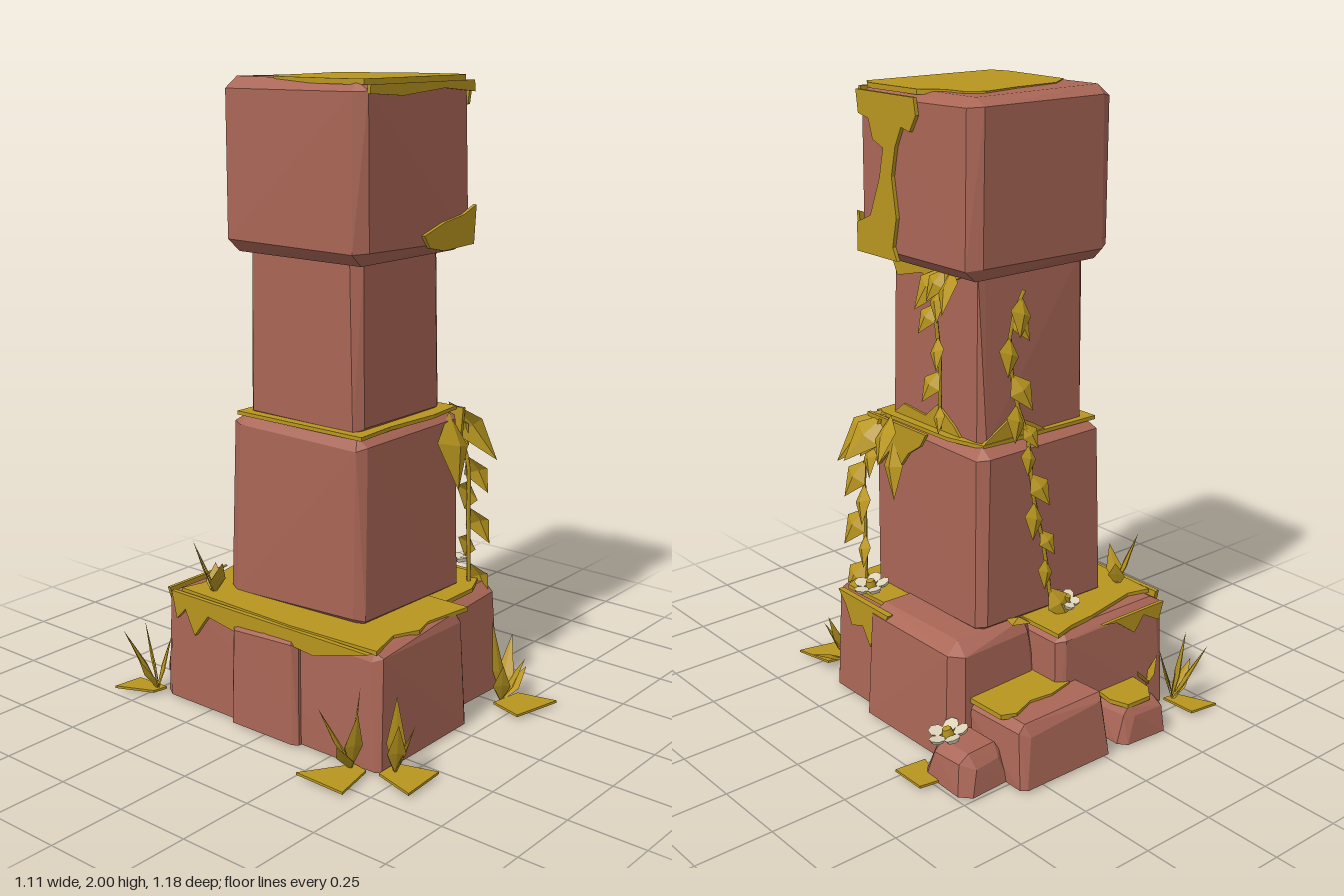
import * as THREE from 'three';
import { ConvexGeometry } from 'three/addons/geometries/ConvexGeometry.js';

const mat = (name, color, side = THREE.FrontSide) => {
  const m = new THREE.MeshStandardMaterial({ color, side });
  m.name = name;
  return m;
};
const V = (x, y, z) => new THREE.Vector3(x, y, z);

export function createModel() {
  const root = new THREE.Group();
  root.name = 'mossyStonePillar';
  const rock = mat('red stone', 0xa96656);
  const moss = mat('golden moss', 0xb8951f, THREE.DoubleSide);
  const petal = mat('cream petal', 0xdcd2b8, THREE.DoubleSide);

  let seed = 7;
  const rnd = () => (seed = (seed * 16807) % 2147483647) / 2147483647;

  const add = (parent, name, geo, material) => {
    const m = new THREE.Mesh(geo, material);
    m.name = name;
    parent.add(m);
    return m;
  };

  // Rough chamfered block: three points near each corner, nudged inwards.
  // topIn / botIn pull the upper and lower rims in.
  function block(name, lo, hi, c = 0.03, topIn = 0.01, botIn = 0, jit = 0.014) {
    const pts = [];
    for (const sx of [0, 1]) for (const sy of [0, 1]) for (const sz of [0, 1]) for (let k = 0; k < 3; k++) {
      const s = [sx, sy, sz];
      const p = s.map((f, i) => {
        let inset = i === k ? 0 : c * (0.7 + 0.6 * rnd());
        if (i !== 1) inset += sy ? topIn : botIn;
        inset += (i === 1 ? 0.5 : 1) * jit * rnd();
        if (i === 1 && !f && lo[1] < 0.05) inset = 0;
        return f ? hi[i] - inset : lo[i] + inset;
      });
      pts.push(V(...p));
    }
    add(root, name, new ConvexGeometry(pts), rock);
  }

  // Stacked column
  block('topBlock', [-0.295, 1.47, -0.285], [0.285, 2.0, 0.3], 0.035, 0.012, 0.012);
  block('neckBlock', [-0.23, 0.95, -0.225], [0.205, 1.52, 0.23], 0.02, 0.008, 0);
  block('middleBlock', [-0.28, 0.36, -0.28], [0.26, 0.97, 0.285], 0.03, 0.012, 0.006);

  // Plinth stones
  block('plinthLeft', [-0.405, 0.01, -0.455], [0.08, 0.38, 0.45], 0.025, 0.015);
  block('plinthFrontRight', [0.06, 0.01, 0.0], [0.375, 0.375, 0.37], 0.03, 0.015);
  block('plinthRight', [0.0, 0.01, -0.34], [0.41, 0.39, 0.16], 0.04, 0.025);
  block('plinthSideSliver', [-0.425, 0.01, -0.15], [-0.33, 0.35, 0.15], 0.02, 0.01);
  block('backStone', [-0.045, 0.01, -0.58], [0.345, 0.21, -0.25], 0.03, 0.015);
  block('smallBackStone', [-0.28, 0.01, -0.595], [-0.07, 0.13, -0.4], 0.025, 0.012);
  block('smallSideStone', [0.3, 0.01, -0.505], [0.5, 0.13, -0.28], 0.03, 0.015);

  // Moss sheets: points are (x,z) for 'top', (z,y) for sides and (x,y) for front and back
  function sheet(name, face, at, pts, depth = 0.012) {
    const flip = face === 'right' || face === 'back' ? -1 : 1;
    const shape = new THREE.Shape(pts.map(([a, b]) => new THREE.Vector2(a * flip, b)));
    const geo = new THREE.ExtrudeGeometry(shape, { depth, bevelEnabled: false });
    if (face === 'top') geo.rotateX(Math.PI / 2).translate(0, at, 0);
    if (face === 'right') geo.rotateY(Math.PI / 2).translate(at - depth, 0, 0);
    if (face === 'left') geo.rotateY(-Math.PI / 2).translate(at + depth, 0, 0);
    if (face === 'back') geo.rotateY(Math.PI).translate(0, 0, at + depth);
    if (face === 'front') geo.translate(0, 0, at - depth);
    add(root, name, geo, moss);
  }

  // Top block moss
  sheet('topMoss', 'top', 2.0, [[-0.25, -0.07], [-0.16, -0.135], [0.0, -0.145], [0.14, -0.17], [0.19, -0.13],
    [0.2, -0.06], [0.255, 0.0], [0.262, 0.22], [0.235, 0.268], [-0.245, 0.262], [-0.265, 0.2]], 0.016);
  sheet('topMossFrontLip', 'front', 0.29, [[-0.25, 1.985], [0.25, 1.985], [0.255, 1.95], [0.1, 1.965], [-0.1, 1.95], [-0.25, 1.96]]);
  sheet('topMossDrip', 'right', 0.283, [[0.26, 1.98], [-0.02, 1.98], [-0.03, 1.93], [0.0, 1.88], [0.04, 1.89],
    [0.07, 1.83], [0.09, 1.74], [0.07, 1.62], [0.09, 1.53], [0.07, 1.49], [0.27, 1.49], [0.27, 1.58],
    [0.2, 1.61], [0.15, 1.73], [0.13, 1.82], [0.18, 1.84], [0.2, 1.9], [0.25, 1.91]]);
  sheet('topMossLowerFront', 'front', 0.295, [[0.0, 1.54], [0.03, 1.5], [0.1, 1.485], [0.255, 1.49], [0.265, 1.61], [0.2, 1.585], [0.1, 1.57]]);
  sheet('neckUpperMoss', 'right', 0.208, [[0.21, 1.5], [-0.2, 1.5], [-0.12, 1.46], [-0.03, 1.42], [0.05, 1.45], [0.17, 1.42]]);
  sheet('neckLowerMoss', 'right', 0.208, [[0.2, 0.97], [-0.13, 0.97], [-0.1, 1.0], [-0.02, 1.05], [0.04, 1.0], [0.15, 1.01]]);

  // Middle block ledge moss
  sheet('middleMoss', 'top', 0.972, [[-0.25, -0.24], [0.2, -0.23], [0.235, -0.1], [0.24, 0.25], [0.1, 0.265], [-0.1, 0.25], [-0.25, 0.26]], 0.012);
  sheet('middleMossDrip', 'right', 0.262, [[0.27, 0.965], [-0.03, 0.965], [0.0, 0.92], [0.06, 0.88], [0.1, 0.83], [0.16, 0.86], [0.22, 0.8], [0.26, 0.85]]);
  sheet('neckFootMoss', 'back', -0.228, [[0.2, 0.97], [-0.05, 0.97], [0.0, 1.0], [0.08, 1.04], [0.15, 1.0]]);

  // Plinth moss
  sheet('plinthMoss', 'top', 0.386, [[-0.375, -0.38], [-0.3, -0.36], [-0.2, -0.38], [-0.1, -0.4], [0.0, -0.41], [0.07, -0.43],
    [0.075, 0.425], [-0.1, 0.4], [-0.17, 0.42], [-0.25, 0.385], [-0.375, 0.42], [-0.39, 0.1]], 0.014);
  sheet('plinthMossRight', 'top', 0.384, [[0.06, 0.1], [0.34, 0.05], [0.35, 0.28], [0.22, 0.34], [0.06, 0.34]], 0.014);
  sheet('plinthMossRightDrip', 'right', 0.382, [[0.29, 0.375], [0.02, 0.375], [0.05, 0.33], [0.09, 0.3], [0.12, 0.23], [0.16, 0.29], [0.22, 0.27], [0.25, 0.33]], 0.02);
  sheet('plinthMossLeftDrip', 'left', -0.402, [[-0.4, 0.38], [-0.38, 0.29], [-0.34, 0.33], [-0.3, 0.25], [-0.24, 0.33],
    [-0.12, 0.31], [0.0, 0.34], [0.2, 0.32], [0.3, 0.35], [0.41, 0.38]], 0.016);
  sheet('plinthMossBackDrip', 'back', -0.452, [[-0.37, 0.37], [-0.35, 0.31], [-0.28, 0.35], [-0.24, 0.3], [-0.16, 0.36], [-0.1, 0.37]]);
  sheet('backStoneMoss', 'top', 0.216, [[0.03, -0.44], [0.12, -0.46], [0.2, -0.45], [0.28, -0.48], [0.325, -0.46], [0.33, -0.3], [0.03, -0.3]], 0.016);
  sheet('smallStoneMoss', 'top', 0.136, [[-0.24, -0.52], [-0.2, -0.565], [-0.11, -0.56], [-0.09, -0.5], [-0.1, -0.44], [-0.25, -0.44]], 0.014);

  // Folded leaf from base to tip, facing the given normal
  function leaf(parent, base, tip, w, normal, name = 'leaf') {
    const dir = tip.clone().sub(base);
    const side = dir.clone().cross(normal).normalize().multiplyScalar(w);
    const mid = base.clone().addScaledVector(dir, 0.42);
    const ridge = mid.clone().addScaledVector(normal, w * 0.35);
    const l = mid.clone().sub(side), r = mid.clone().add(side);
    const tris = [base, ridge, l, l, ridge, tip, base, r, ridge, r, tip, ridge];
    const geo = new THREE.BufferGeometry().setFromPoints(tris);
    geo.computeVertexNormals();
    add(parent, name, geo, moss);
  }

  // Vines: a thin stem with alternating leaves hanging outwards
  function vine(name, pts, out, count, size) {
    const g = new THREE.Group();
    g.name = name;
    root.add(g);
    const curve = new THREE.CatmullRomCurve3(pts.map((p) => V(...p)));
    add(g, 'stem', new THREE.TubeGeometry(curve, 14, 0.008, 4), moss);
    const across = V(0, 1, 0).cross(out);
    for (let i = 0; i < count; i++) {
      const p = curve.getPoint((i + 0.3) / count), s = i % 2 ? 1 : -1, k = size * (0.8 + 0.4 * rnd());
      const tip = p.clone().addScaledVector(across, s * k * 0.4).addScaledVector(out, k * 0.4).add(V(0, -k, 0));
      leaf(g, p, tip, k * 0.38, out);
    }
  }
  const X = V(1, 0, 0), Z = V(0, 0, 1), B = V(0, 0, -1), Y = V(0, 1, 0);
  vine('upperVine', [[0.215, 1.5, -0.08], [0.225, 1.4, -0.04], [0.22, 1.2, -0.05], [0.215, 0.98, -0.04]], X, 6, 0.09);
  vine('cornerVine', [[0.26, 0.96, 0.2], [0.275, 0.8, 0.27], [0.275, 0.6, 0.28], [0.27, 0.38, 0.29]], X, 7, 0.11);
  vine('backVine', [[0.04, 1.42, -0.225], [0.1, 1.32, -0.235], [0.08, 1.1, -0.235], [0.06, 0.98, -0.27], [0.05, 0.8, -0.285],
    [0.0, 0.6, -0.285], [-0.02, 0.4, -0.3]], B, 12, 0.1);

  // Large hanging leaves: [base, tip, half width, normal]
  [[[0.2, 0.96, 0.25], [0.14, 0.73, 0.335], 0.085, Z],
    [[0.24, 0.97, 0.2], [0.36, 0.82, 0.27], 0.06, X],
    [[0.24, 0.98, 0.22], [0.33, 0.79, 0.35], 0.06, X],
    [[0.25, 0.98, 0.16], [0.35, 0.85, 0.1], 0.06, X],
    [[0.26, 0.9, 0.14], [0.29, 0.72, 0.1], 0.05, X],
    [[0.2, 1.48, -0.04], [0.26, 1.35, 0.02], 0.05, X],
    [[0.2, 1.49, -0.09], [0.29, 1.37, -0.15], 0.05, X],
    [[0.08, 0.39, -0.28], [0.17, 0.41, -0.33], 0.04, Y],
  ].forEach(([b, t, w, n]) => leaf(root, V(...b), V(...t), w, n, 'hangingLeaf'));

  // Upright tufts: base point, then blade tips
  function tuft(name, base, tips, w = 0.028) {
    const g = new THREE.Group();
    g.name = name;
    root.add(g);
    for (const t of tips) {
      const b = V(...base), tip = V(...t);
      const n = V(t[0] - b.x, 0.05, t[2] - b.z).normalize();
      const bow = n.clone().multiplyScalar(-0.01);
      leaf(g, b, tip, w, n, 'blade');
      leaf(g, b.clone().add(bow), tip, w, bow.normalize(), 'bladeBack');
    }
  }
  tuft('tuftLeft', [-0.42, 0.01, 0.36], [[-0.52, 0.23, 0.32], [-0.46, 0.22, 0.42], [-0.4, 0.27, 0.38], [-0.52, 0.13, 0.39]]);
  tuft('tuftFrontLeft', [-0.36, 0.01, 0.48], [[-0.38, 0.27, 0.5], [-0.33, 0.17, 0.53], [-0.41, 0.2, 0.53]]);
  tuft('tuftFrontRight', [0.25, 0.01, 0.44], [[0.25, 0.28, 0.4], [0.34, 0.21, 0.42], [0.4, 0.08, 0.44], [0.2, 0.16, 0.48], [0.31, 0.15, 0.49]]);
  tuft('tuftBackLeft', [-0.4, 0.01, -0.48], [[-0.47, 0.22, -0.56], [-0.36, 0.2, -0.45], [-0.43, 0.26, -0.5], [-0.48, 0.14, -0.48]]);
  tuft('tuftOnPlinth', [-0.33, 0.38, -0.28], [[-0.38, 0.56, -0.32], [-0.35, 0.5, -0.22], [-0.3, 0.47, -0.3]]);
  tuft('tuftBackEdge', [-0.3, 0.1, -0.46], [[-0.33, 0.2, -0.47], [-0.24, 0.17, -0.47]], 0.02);

  // Flat ground leaves, as (x,z) corners
  [[[-0.55, 0.26], [-0.4, 0.36], [-0.41, 0.41], [-0.555, 0.44]],
    [[-0.4, 0.45], [-0.32, 0.45], [-0.28, 0.58], [-0.44, 0.59]],
    [[0.21, 0.44], [0.32, 0.46], [0.35, 0.59], [0.18, 0.55]],
    [[-0.485, -0.595], [-0.385, -0.58], [-0.38, -0.46], [-0.43, -0.47]],
    [[0.49, -0.37], [0.555, -0.36], [0.555, -0.24], [0.45, -0.25]],
  ].forEach((p) => sheet('groundLeaf', 'top', 0.02, p, 0.008));

  // Five-petalled flowers
  function flower(x, y, z, r, tiltX, tiltZ) {
    const g = new THREE.Group();
    g.name = 'flower';
    for (let i = 0; i < 5; i++) {
      const a = (i / 5) * Math.PI * 2;
      const p = add(g, 'petal', new THREE.CylinderGeometry(r * 0.4, r * 0.28, 0.012, 7), petal);
      p.position.set(Math.cos(a) * r * 0.65, 0.006, Math.sin(a) * r * 0.65);
      p.rotation.z = Math.cos(a) * 0.25;
      p.rotation.x = -Math.sin(a) * 0.25;
    }
    add(g, 'flowerCentre', new THREE.CylinderGeometry(r * 0.22, r * 0.32, 0.03, 7), moss).position.y = 0.01;
    g.position.set(x, y, z);
    g.rotation.set(tiltX, 0, tiltZ);
    root.add(g);
  }
  flower(0.43, 0.135, -0.34, 0.065, 0.1, -0.2);
  flower(0.335, 0.41, 0.17, 0.06, 0, -0.2);
  flower(-0.07, 0.41, -0.31, 0.045, -0.4, 0);

  return root;
}
